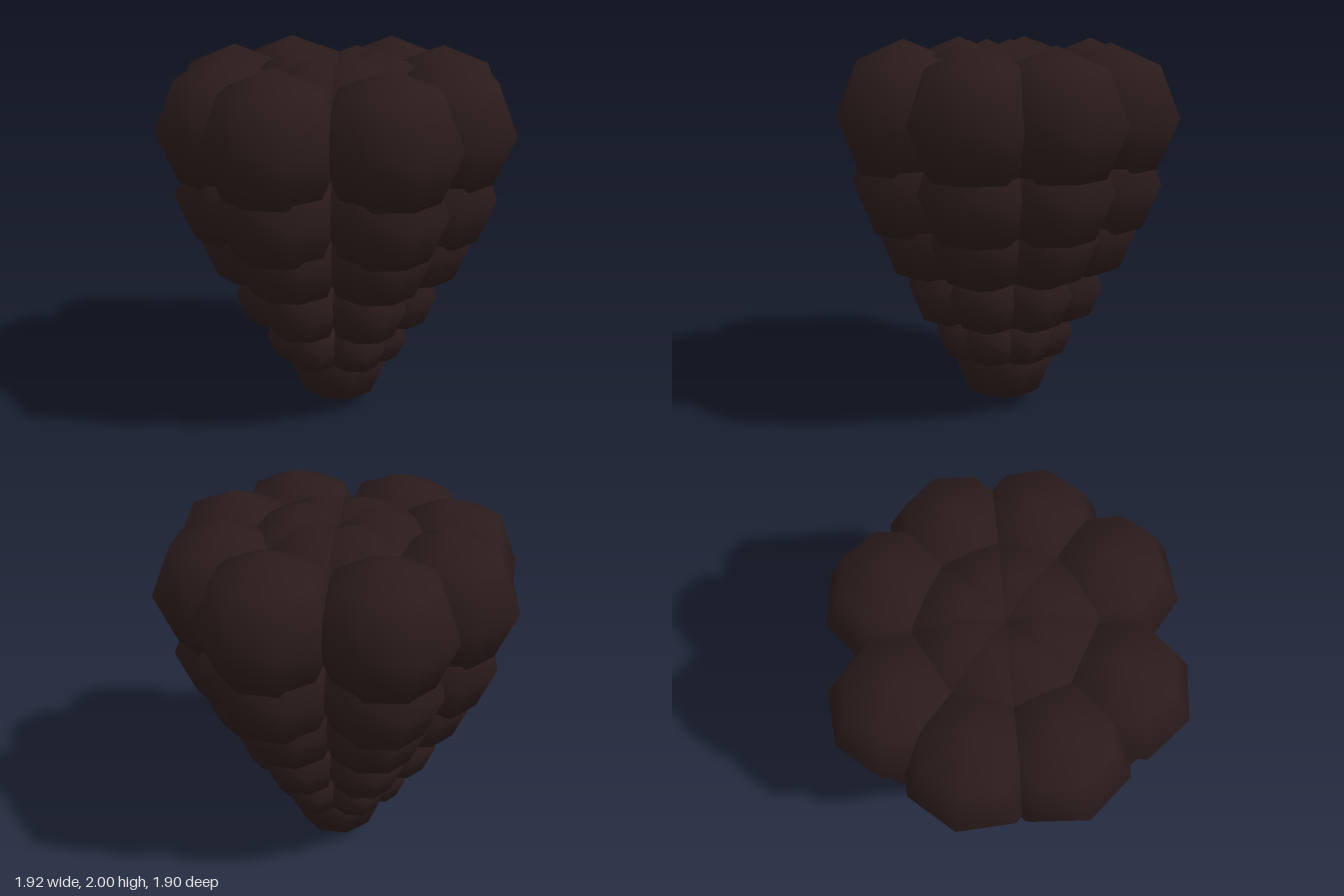
import * as THREE from 'three';

// Berry built from rings of faceted-outline, smooth-shaded drupelets.
export function createModel() {
  const berry = new THREE.Group();
  berry.name = 'berry';
  const material = new THREE.MeshStandardMaterial({ color: 0x2b1b1b });

  // half of the slightly uneven ring; the other half is turned by 180 degrees
  const halfRing = [0, 38, 81.5, 138];
  const angles = [...halfRing, ...halfRing.map((a) => a + 180)];

  const drupelet = (name, radius, x, y, z, turn) => {
    const mesh = new THREE.Mesh(new THREE.SphereGeometry(radius, 8, 4), material);
    mesh.name = name;
    mesh.position.set(x, y, z);
    mesh.rotation.y = -turn;
    return mesh;
  };

  // name, ring radius, height, drupelet radius
  const rings = [
    ['crownInner', 0.2, 1.63, 0.37],
    ['crownOuter', 0.59, 1.63, 0.37],
    ['upperRing', 0.54, 1.29, 0.335],
    ['middleRing', 0.45, 1.04, 0.3],
    ['lowerRing', 0.345, 0.71, 0.225],
    ['bottomRing', 0.235, 0.44, 0.17],
  ];
  for (const [name, ringRadius, y, radius] of rings) {
    const ring = new THREE.Group();
    ring.name = name;
    for (const degrees of angles) {
      const a = THREE.MathUtils.degToRad(degrees);
      ring.add(drupelet('drupelet', radius, ringRadius * Math.cos(a), y, ringRadius * Math.sin(a), a));
    }
    berry.add(ring);
  }

  // single drupelet closing the point
  berry.add(drupelet('tip', 0.29, 0.01, 0.29, 0, 0));
  return berry;
}
